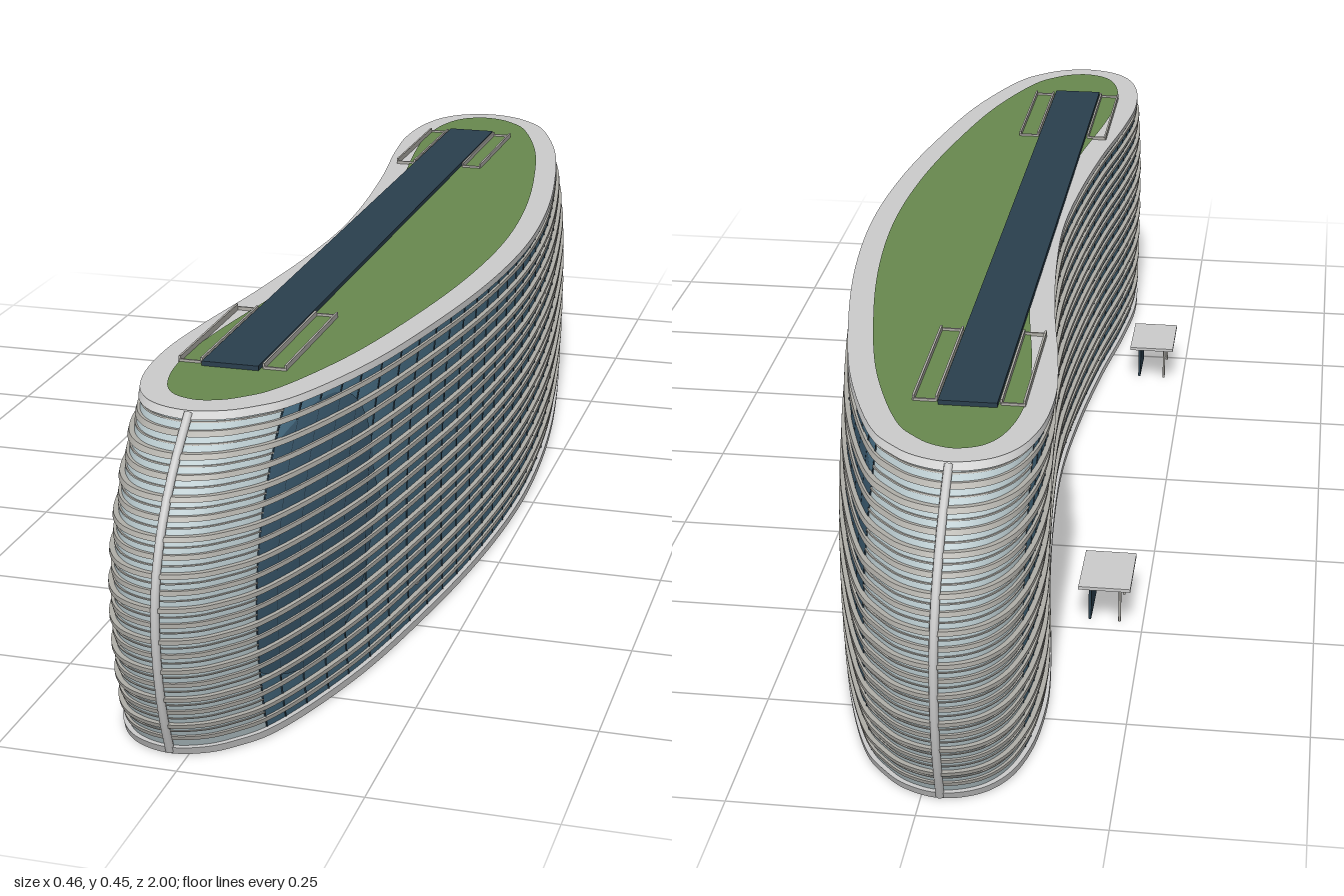
import * as THREE from 'three';
import { mergeGeometries } from 'three/addons/utils/BufferGeometryUtils.js';

const M = 12;            // samples per control point of the plan curve
const HEIGHT = 0.432;

// Crescent plan: [x, s], s = fraction of the half length
const outerHalf = [[-0.025, 1], [0.02, 0.985], [0.052, 0.955], [0.08, 0.915], [0.14, 0.73], [0.187, 0.47], [0.215, 0.23], [0.225, 0]];
const innerHalf = [[-0.07, 0.985], [-0.1, 0.95], [-0.122, 0.88], [-0.131, 0.76], [-0.121, 0.62], [-0.097, 0.42], [-0.078, 0.2], [-0.07, 0]];
const flip = ([x, s]) => [x, -s];
const control = [
  ...outerHalf, ...outerHalf.slice(0, -1).reverse().map(flip),
  ...innerHalf.map(flip), ...innerHalf.slice(0, -1).reverse(),
];
const N = control.length * M;
const plan = new THREE.CatmullRomCurve3(control.map(([x, s]) => new THREE.Vector3(x, 0, s)), true).getPoints(N).slice(0, N);
const at = i => plan[((i % N) + N) % N];

// Half length of the building at height y (ends bulge and lean in at the top)
function halfLength(y) {
  const d = y - 0.19;
  return d < 0 ? 0.99 - 0.04 * (d / 0.19) ** 2 : 0.99 - 0.145 * Math.min(1.05, d / 0.245) ** 2.2;
}

// Point of the facade at plan index i, height y, pushed outward by off
function facadePoint(i, off, y) {
  const L = halfLength(y), p = at(i), a = at(i - 1), b = at(i + 1);
  const tx = b.x - a.x, tz = (b.z - a.z) * L, len = Math.hypot(tx, tz);
  return new THREE.Vector3(p.x - (tz / len) * off, y, p.z * L + (tx / len) * off);
}

// Surface over plan indices i0..i1 and v = 0..1
function grid(f, i0, i1, rows) {
  const pos = [], idx = [], w = rows + 1;
  for (let i = i0; i <= i1; i++) for (let j = 0; j <= rows; j++) pos.push(...f(i, j / rows).toArray());
  for (let i = 0; i < i1 - i0; i++) for (let j = 0; j < rows; j++) {
    const a = i * w + j, b = a + w;
    idx.push(a, b, b + 1, a, b + 1, a + 1);
  }
  const g = new THREE.BufferGeometry();
  g.setAttribute('position', new THREE.Float32BufferAttribute(pos, 3));
  g.setIndex(idx);
  g.computeVertexNormals();
  return g;
}

// Hard-edged ledge running around the plan
function ledge(y0, y1, out, i0 = 0, i1 = N) {
  const section = [[-0.004, y0], [out, y0], [out, y1], [-0.004, y1]];
  return mergeGeometries(section.slice(1).map(([o, y], k) => {
    const [po, py] = section[k];
    return grid((i, v) => facadePoint(i, po + (o - po) * v, py + (y - py) * v), i0, i1, 1);
  }));
}

// Flat slab face with the plan outline
function planFace(off, planY, y) {
  const pts = plan.map((_, i) => facadePoint(i, off, planY)).map(p => new THREE.Vector2(p.x, -p.z));
  return new THREE.ShapeGeometry(new THREE.Shape(pts)).rotateX(-Math.PI / 2).translate(0, y, 0);
}

const box = (x0, x1, y0, y1, z0, z1) =>
  new THREE.BoxGeometry(x1 - x0, y1 - y0, z1 - z0).translate((x0 + x1) / 2, (y0 + y1) / 2, (z0 + z1) / 2);

export function createModel() {
  const model = new THREE.Group();
  model.name = 'crescentBuilding';
  const mat = (color, side = THREE.FrontSide) => new THREE.MeshStandardMaterial({ color, side });
  const glass = mat(0x456a80), darkGlass = mat(0x38566a), capGlass = mat(0xb4c4c8);
  const slatGrey = mat(0xb0aea8), trim = mat(0xc8c8c4), navy = mat(0x2a3f4e), green = mat(0x68894f);
  const under = mat(0x1c262b, THREE.DoubleSide);
  const add = (name, geo, material) => {
    const mesh = new THREE.Mesh(geo, material);
    mesh.name = name;
    model.add(mesh);
  };

  // Curtain walls and pale end caps
  const wall = (i0, i1) => grid((i, v) => facadePoint(i, 0, v * HEIGHT), i0, i1, 28);
  const half = 14 * M, cap = 3 * M;
  add('outerGlassWall', wall(cap, half - cap), glass);
  add('innerGlassWall', wall(half + cap, N - cap), glass);
  add('frontEndCap', wall(-cap, cap), capGlass);
  add('backEndCap', wall(half - cap, half + cap), capGlass);

  // Rounded darker glass areas near both ends of the outer wall
  const patch = (i, v) => {
    const e = (Math.abs(at(i).z) * 0.98 - 0.8) / 0.17;
    const h = 0.175 * Math.sqrt(Math.max(0, 1 - e * e));
    return facadePoint(i, 0.001, 0.245 + h * (2 * v - 1));
  };
  add('darkGlassFront', grid(patch, cap, cap + 20, 20), darkGlass);
  add('darkGlassBack', grid(patch, half - cap - 20, half - cap, 20), darkGlass);

  // Floor slats, alternately deep and shallow
  const slats = [], capLouvres = [];
  for (let k = 0; k < 19; k++) {
    const y = 0.026 + k * 0.0215;
    slats.push(ledge(y - 0.003, y + 0.003, k % 2 ? 0.007 : 0.004));
    for (const c of [0, half]) capLouvres.push(ledge(y + 0.01, y + 0.0115, 0.002, c - cap, c + cap));
  }
  add('floorSlats', mergeGeometries(slats), slatGrey);
  add('endCapLouvres', mergeGeometries(capLouvres), slatGrey);

  // Thin mullions on the long walls, thick ribs down the two ends
  const rib = (i, r, sides, off) => new THREE.TubeGeometry(new THREE.CatmullRomCurve3(
    Array.from({ length: 13 }, (_, j) => facadePoint(i, off, 0.004 + j / 12 * (HEIGHT - 0.004)))), 16, r, sides);
  const mullions = [];
  for (let i = cap; i <= N - cap; i += 3) {
    if (i <= half - cap || i >= half + cap) mullions.push(rib(i, 0.0015, 3, 0));
  }
  add('mullions', mergeGeometries(mullions), navy);
  add('endRibs', mergeGeometries([rib(0, 0.006, 10, 0.004), rib(half, 0.006, 10, 0.004)]), trim);

  // Base and roof edges
  add('baseRing', ledge(0, 0.011, 0.007), trim);
  add('roofRing', ledge(0.427, 0.437, 0.006), trim);
  add('underside', planFace(0.006, 0, 0.001), under);
  add('roofBorder', planFace(0.006, HEIGHT, 0.437), trim);
  add('roofGarden', planFace(-0.03, HEIGHT, 0.4385), green);

  // Roof spine and the low railing frames beside it
  add('roofSpine', box(-0.065, 0.015, 0.43, 0.445, -0.69, 0.69), navy);
  const rails = [];
  for (const s of [-1, 1]) for (const [x0, x1] of [[-0.1, -0.069], [0.019, 0.05]]) {
    for (const x of [x0, x1]) rails.push(box(x - 0.0015, x + 0.0015, 0.437, 0.446, s * 0.56 - 0.12, s * 0.56 + 0.12));
    for (const z of [0.44, 0.68]) rails.push(box(x0, x1, 0.437, 0.442, s * z - 0.0015, s * z + 0.0015));
  }
  add('roofRails', mergeGeometries(rails), slatGrey);

  // Entrance canopies: free-standing on the inner side, shallow on the outer
  const roofs = [], posts = [], screens = [];
  for (const s of [-1, 1]) {
    const z = s * 0.44;
    roofs.push(box(-0.232, -0.156, 0.062, 0.067, z - 0.056, z + 0.056));
    roofs.push(box(0.12, 0.185, 0.062, 0.067, s * 0.455 - 0.04, s * 0.455 + 0.04));
    for (const d of [-0.04, 0.04]) {
      posts.push(new THREE.CylinderGeometry(0.002, 0.002, 0.058, 8).translate(-0.216, 0.034, z + d));
    }
    screens.push(box(-0.174, -0.17, 0.005, 0.058, z - 0.04, z + 0.04));
  }
  add('canopyRoofs', mergeGeometries(roofs), trim);
  add('canopyPosts', mergeGeometries(posts), slatGrey);
  add('canopyScreens', mergeGeometries(screens), navy);

  return model;
}
